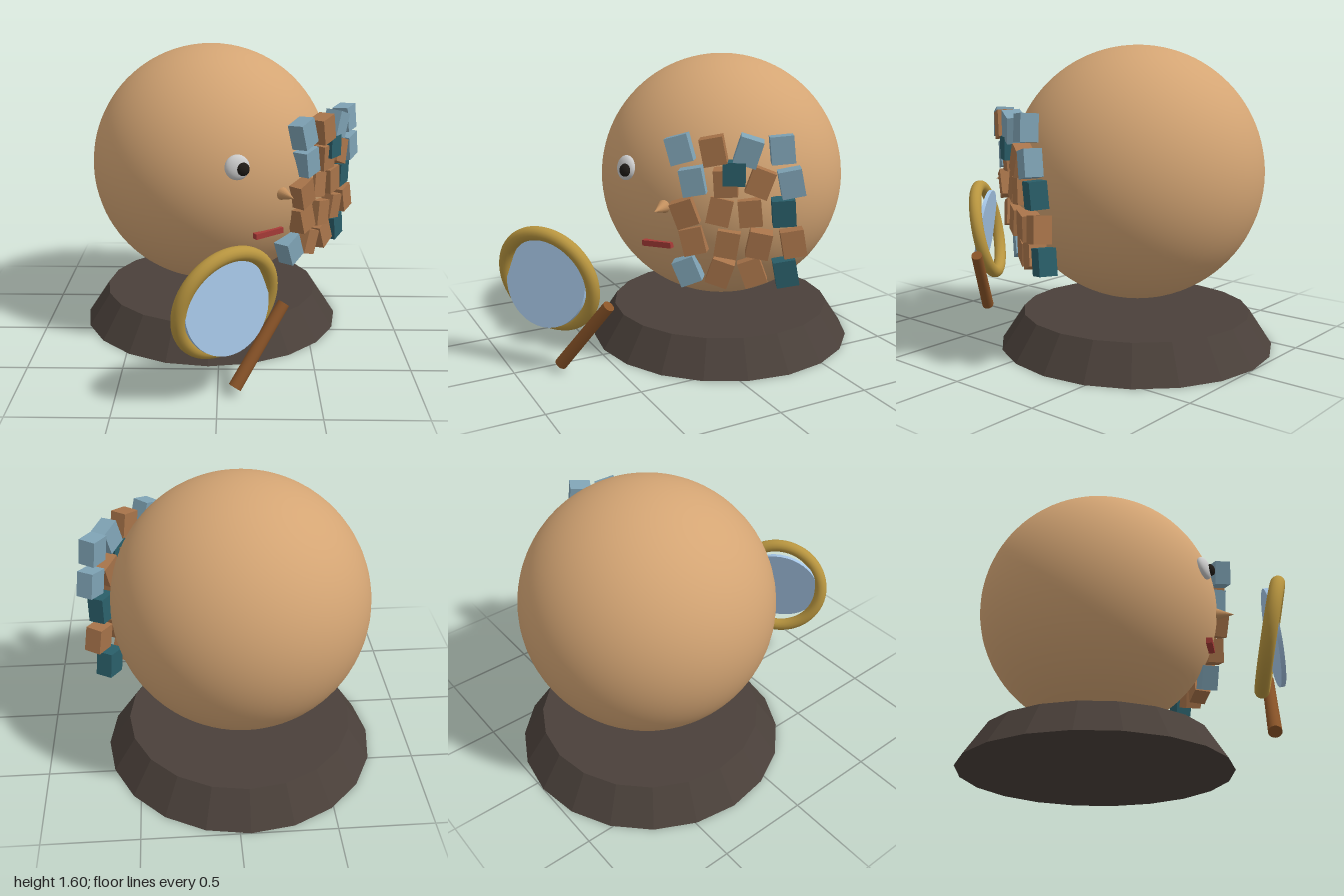
import * as THREE from 'three';

const C = new THREE.Vector3(-0.055, 0.93, -0.265); // head centre
const UP = new THREE.Vector3(0, 1, 0);
const FRONT = new THREE.Vector3(0, 0, 1);
const mat = (color, flatShading = false) => new THREE.MeshStandardMaterial({ color, flatShading });

export function createModel() {
  const model = new THREE.Group();
  const add = (name, geometry, material, x, y, z, parent = model) => {
    const m = new THREE.Mesh(geometry, material);
    m.name = name;
    m.position.set(x, y, z);
    parent.add(m);
    return m;
  };
  const outward = (m) => m.position.clone().sub(C).normalize();

  // Tapered plinth and floating head
  add('base', new THREE.CylinderGeometry(0.613, 0.735, 0.185, 20), mat(0x4a403a, true), C.x, 0.0925, C.z);
  add('head', new THREE.SphereGeometry(0.67, 64, 48), mat(0xd4a574), C.x, C.y, C.z);

  // Eye: flattened white with a dark pupil
  const eye = add('eyeWhite', new THREE.SphereGeometry(0.065, 24, 16), mat(0xf0f0f0), 0.092, 1.055, 0.382);
  eye.quaternion.setFromUnitVectors(FRONT, outward(eye));
  eye.scale.z = 0.5;
  const pupil = add('pupil', new THREE.SphereGeometry(0.034, 16, 12), mat(0x1e1a16), 0.122, 1.05, 0.402);
  pupil.quaternion.copy(eye.quaternion);
  pupil.scale.z = 0.75;

  // Cone nose pointing outward
  const nose = add('nose', new THREE.ConeGeometry(0.035, 0.1, 16), mat(0xc4915f), 0.354, 0.889, 0.322);
  nose.quaternion.setFromUnitVectors(UP, outward(nose));

  // Mouth
  const mouth = add('mouth', new THREE.BoxGeometry(0.17, 0.03, 0.035), mat(0xa83c38, true), 0.257, 0.678, 0.284);
  mouth.rotation.set(0, 0.57, 0.06, 'YXZ');

  // Patch of tilted blocks: [x, y, z, roll, colour]
  const blue = mat(0x7fa3b5, true), brown = mat(0xa8744a, true), teal = mat(0x2a5f6a, true);
  const blocks = new THREE.Group();
  blocks.name = 'blockPatch';
  model.add(blocks);
  const rows = [
    [[0.43, 1.2, 0.245, 0.28, blue], [0.54, 1.2, 0.12, 0.2, brown], [0.625, 1.2, -0.025, -0.3, blue], [0.69, 1.205, -0.175, 0.1, blue]],
    [[0.455, 1.04, 0.185, 0.2, blue], [0.55, 1.04, 0.055, 0.06, brown], [0.635, 1.04, -0.09, -0.35, brown], [0.71, 1.04, -0.22, 0.2, blue]],
    [[0.43, 0.88, 0.215, 0.35, brown], [0.505, 0.885, 0.06, -0.2, brown], [0.595, 0.885, -0.06, 0.1, brown], [0.665, 0.885, -0.21, 0.08, teal]],
    [[0.435, 0.73, 0.17, 0.25, brown], [0.53, 0.72, 0.03, -0.15, brown], [0.61, 0.72, -0.105, -0.18, brown], [0.69, 0.725, -0.255, 0.17, brown]],
    [[0.375, 0.555, 0.17, 0.4, blue], [0.47, 0.555, 0.035, -0.32, brown], [0.56, 0.56, -0.1, 0.35, brown], [0.645, 0.56, -0.245, 0.18, teal]],
  ];
  const blockGeo = new THREE.BoxGeometry(0.115, 0.135, 0.09);
  rows.forEach((row, r) => row.forEach(([x, y, z, roll, material], c) => {
    const b = add('block', blockGeo, material, x, y, z, blocks);
    b.rotation.set(0.06 * ((r + c) % 3 - 1), 0.92 + 0.05 * c, roll, 'YXZ');
  }));
  const loose = add('raisedBlock', new THREE.BoxGeometry(0.11, 0.115, 0.08), teal, 0.592, 1.09, 0.033, blocks);
  loose.rotation.set(0, 1.0, 0, 'YXZ');

  // Hand lens: ring, counter-tilted glass and detached handle
  const ring = add('lensRing', new THREE.TorusGeometry(0.265, 0.036, 16, 64), mat(0xb8953f), 0.04, 0.5, 0.805);
  ring.rotation.set(0.2, 0.63, 0, 'YXZ');
  const glass = new THREE.CylinderGeometry(0.242, 0.242, 0.022, 40).rotateX(Math.PI / 2);
  const lens = add('lensGlass', glass, mat(0xa4c4e4), 0.045, 0.495, 0.82);
  lens.rotation.set(-0.14, 0.63, 0, 'YXZ');

  const top = new THREE.Vector3(0.327, 0.413, 0.593), bottom = new THREE.Vector3(0.085, 0.04, 0.77);
  const mid = top.clone().add(bottom).multiplyScalar(0.5);
  const handle = add('lensHandle', new THREE.CylinderGeometry(0.031, 0.034, top.distanceTo(bottom), 20),
    mat(0x8a5428), mid.x, mid.y, mid.z);
  handle.quaternion.setFromUnitVectors(UP, top.clone().sub(bottom).normalize());

  return model;
}
